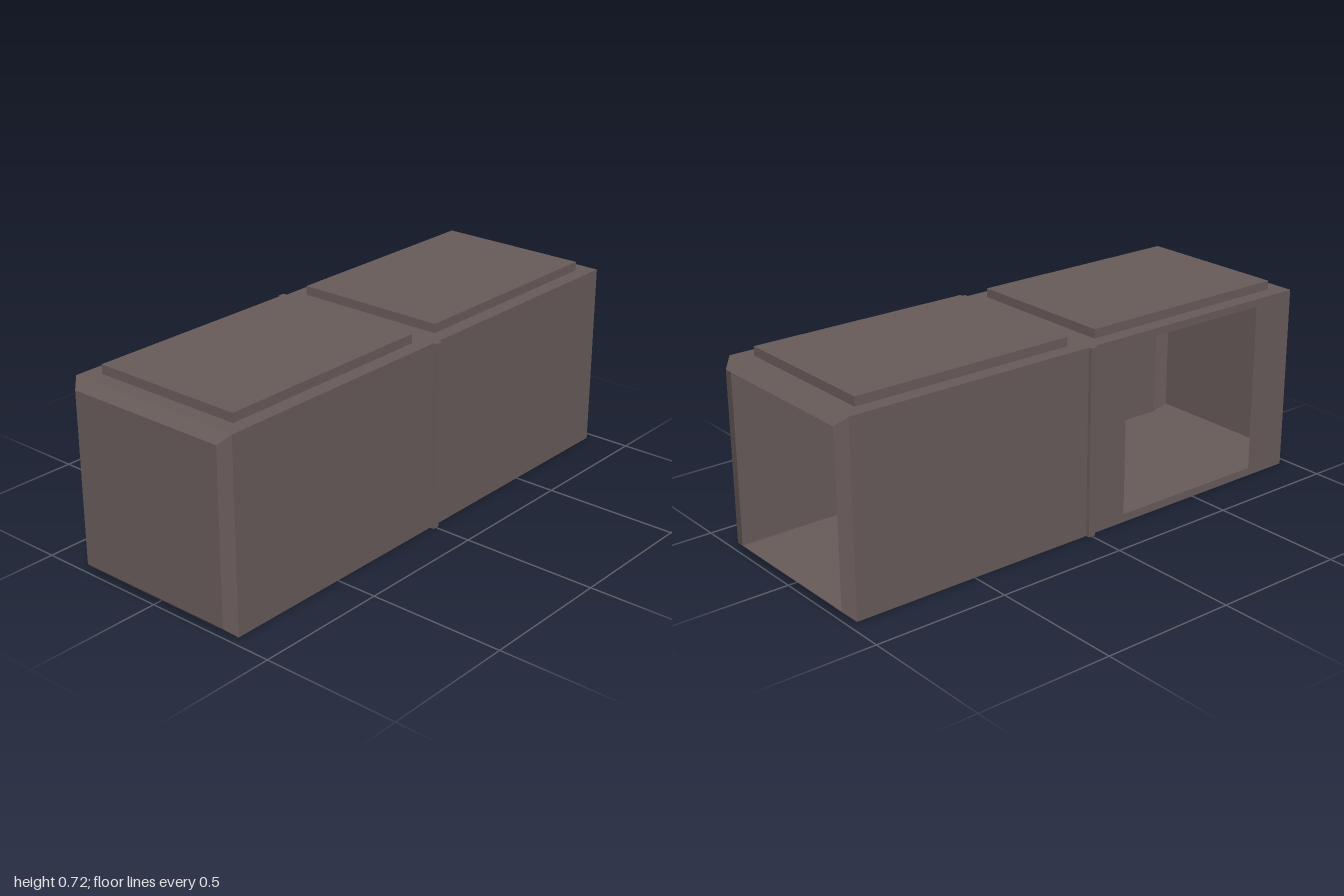
import * as THREE from 'three';

const L = 0.965, H = 0.69, D = 0.345;      // shell half length, height, half depth
const SLOT = 0.014, RIB = 0.36;            // rib half width and reach

// Flat sheet from [left, bottom, right, top] with rectangular holes
function sheet(rect, holes = []) {
  const trace = (path, [a, b, c, d]) => path.moveTo(a, b).lineTo(c, b).lineTo(c, d).lineTo(a, d).lineTo(a, b);
  const shape = trace(new THREE.Shape(), rect);
  shape.holes = holes.map(h => trace(new THREE.Path(), h));
  return new THREE.ShapeGeometry(shape);
}

// Box without one face (order: +x, -x, +y, -y, +z, -z)
function openBox(w, h, d, missing) {
  const g = new THREE.BoxGeometry(w, h, d);
  const index = Array.from(g.index.array);
  index.splice(missing * 6, 6);
  g.setIndex(index);
  g.clearGroups();
  return g;
}

// Four sloped faces from the shell edge to the smaller end rectangle
function bevelRing() {
  const outer = [[0, -D], [0, D], [H, D], [H, -D]];
  const inner = [[0.034, -0.313], [0.034, 0.313], [0.658, 0.313], [0.658, -0.313]];
  const p = [];
  for (let i = 0; i < 4; i++) {
    const j = (i + 1) % 4;
    const a = [L, ...outer[i]], b = [L, ...outer[j]], c = [1, ...inner[j]], d = [1, ...inner[i]];
    p.push(...a, ...c, ...b, ...a, ...d, ...c);
  }
  const g = new THREE.BufferGeometry();
  g.setAttribute('position', new THREE.Float32BufferAttribute(p, 3));
  g.computeVertexNormals();
  return g;
}

export function createModel() {
  const group = new THREE.Group();
  const brown = new THREE.MeshStandardMaterial({ color: 0x685b5a, side: THREE.DoubleSide });
  brown.name = 'dull brown';
  const add = (name, geometry) => {
    const mesh = new THREE.Mesh(geometry, brown);
    mesh.name = name;
    group.add(mesh);
    return mesh;
  };

  // Long walls, split at the hollow rib; the back has a square opening
  for (const s of [-1, 1]) {
    const rect = s < 0 ? [-L, 0, -SLOT, H] : [SLOT, 0, L, H];
    add('frontWall', sheet(rect)).position.z = D;
    const back = sheet(rect, s < 0 ? [[-0.79, 0.03, -0.16, 0.662]] : []);
    add('backWall', back.scale(-1, 1, 1).rotateY(Math.PI)).position.z = -D;
  }

  // Floor, and roof with two openings below the raised panels
  add('floor', sheet([-L, -D, L, D]).rotateX(Math.PI / 2));
  const roofHoles = [[-0.905, -0.29, -0.06, 0.29], [0.06, -0.29, 0.905, 0.29]];
  add('roof', sheet([-L, -D, L, D], roofHoles).rotateX(-Math.PI / 2)).position.y = H;

  for (const s of [-1, 1]) {
    // Raised roof panels, hollow underneath
    add('roofPanel', openBox(0.845, 0.033, 0.58, 3)).position.set(s * 0.4825, H + 0.0165, 0);
    // Ribs on the front and back, hollow toward the inside
    add('rib', openBox(SLOT * 2, H, RIB - D, s > 0 ? 5 : 4)).position.set(0, H / 2, s * (RIB + D) / 2);
    // Bevelled frames at both ends
    const ring = add('endBevel', bevelRing());
    if (s < 0) ring.rotation.y = Math.PI;
  }

  // Closed right end; the left end stays open
  add('endWall', sheet([-0.313, 0.034, 0.313, 0.658]).rotateY(-Math.PI / 2)).position.x = -1;
  return group;
}
